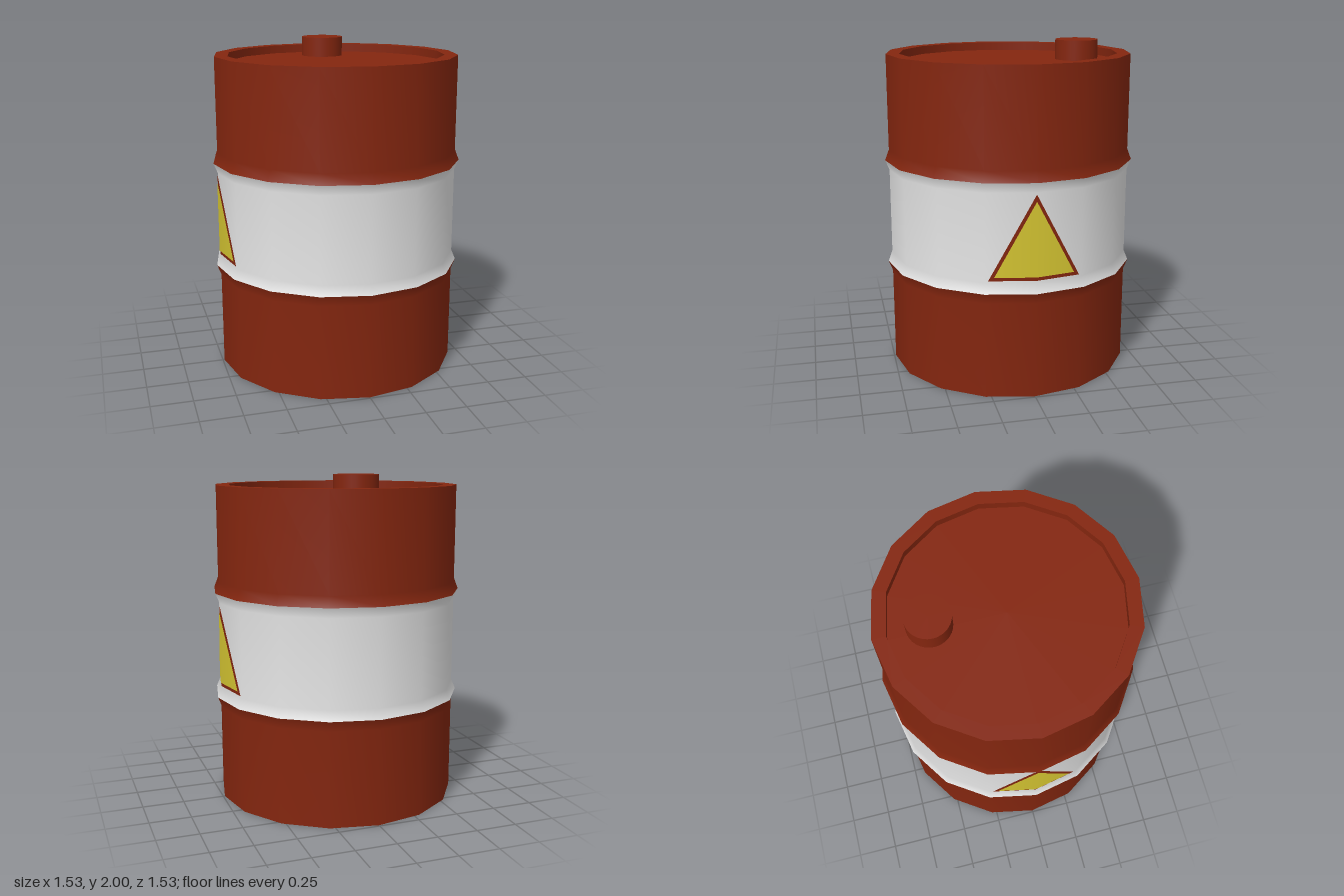
import * as THREE from 'three';

const SIDES = 16;
const R = 0.74, RIDGE = 0.765, INNER = 0.66;
const LOW = 0.645, HIGH = 1.29, TOP = 1.93, LID = 1.88;

const red = new THREE.MeshStandardMaterial({ color: 0x84260f });
red.name = 'rust red';
const white = new THREE.MeshStandardMaterial({ color: 0xe4e4e4 });
white.name = 'band white';
const yellow = new THREE.MeshStandardMaterial({ color: 0xd6c632, side: THREE.DoubleSide });
yellow.name = 'warning yellow';

// Sixteen-sided ring or wall swept from [radius, height] pairs
function turned(name, profile, material) {
  const points = profile.map(([r, y]) => new THREE.Vector2(r, y));
  const mesh = new THREE.Mesh(new THREE.LatheGeometry(points, SIDES), material);
  mesh.name = name;
  return mesh;
}

// Triangle bent along the barrel's corner edge, facing +x
function bentTriangle(name, apexY, baseY, half, lift, material) {
  const step = (Math.PI * 2) / SIDES;
  const slope = (1 - Math.cos(step)) / Math.sin(step);
  const mid = R + lift, edge = mid - slope * half;
  const geometry = new THREE.BufferGeometry();
  geometry.setAttribute('position', new THREE.Float32BufferAttribute([
    mid, apexY, 0,
    mid, baseY, 0,
    edge, baseY, half,
    edge, baseY, -half,
  ], 3));
  geometry.setIndex([0, 2, 1, 0, 1, 3]);
  geometry.computeVertexNormals();
  const mesh = new THREE.Mesh(geometry, material);
  mesh.name = name;
  return mesh;
}

export function createModel() {
  const barrel = new THREE.Group();
  barrel.name = 'barrel';

  // Walls, meeting at the two raised ridges
  barrel.add(
    turned('lowerWall', [[R, 0], [R, 0.58], [RIDGE, LOW]], red),
    turned('middleBand', [[RIDGE, LOW], [R, 0.705], [R, 1.23], [RIDGE, HIGH]], white),
    turned('upperWall', [[RIDGE, HIGH], [R, 1.355], [R, TOP]], red),
  );

  // Bottom, rim and sunken lid
  barrel.add(
    turned('bottom', [[0, 0], [R, 0]], red),
    turned('rim', [[R, TOP], [INNER, TOP]], red),
    turned('rimInside', [[INNER, TOP], [INNER, LID]], red),
    turned('lid', [[INNER, LID], [0, LID]], red),
  );

  // Filler plug near the back of the lid
  const plug = new THREE.Mesh(new THREE.CylinderGeometry(0.13, 0.13, 2 - LID, 32), red);
  plug.name = 'fillerPlug';
  plug.position.set(0.03, (2 + LID) / 2, -0.424);
  barrel.add(plug);

  // Warning signs on both sides
  for (const [name, turn] of [['leftSign', 0], ['rightSign', Math.PI]]) {
    const sign = new THREE.Group();
    sign.name = name;
    sign.add(
      bentTriangle('signBorder', 1.22, 0.717, 0.267, 0.003, red),
      bentTriangle('signFace', 1.18, 0.738, 0.234, 0.006, yellow),
    );
    sign.rotation.y = turn;
    barrel.add(sign);
  }

  return barrel;
}
